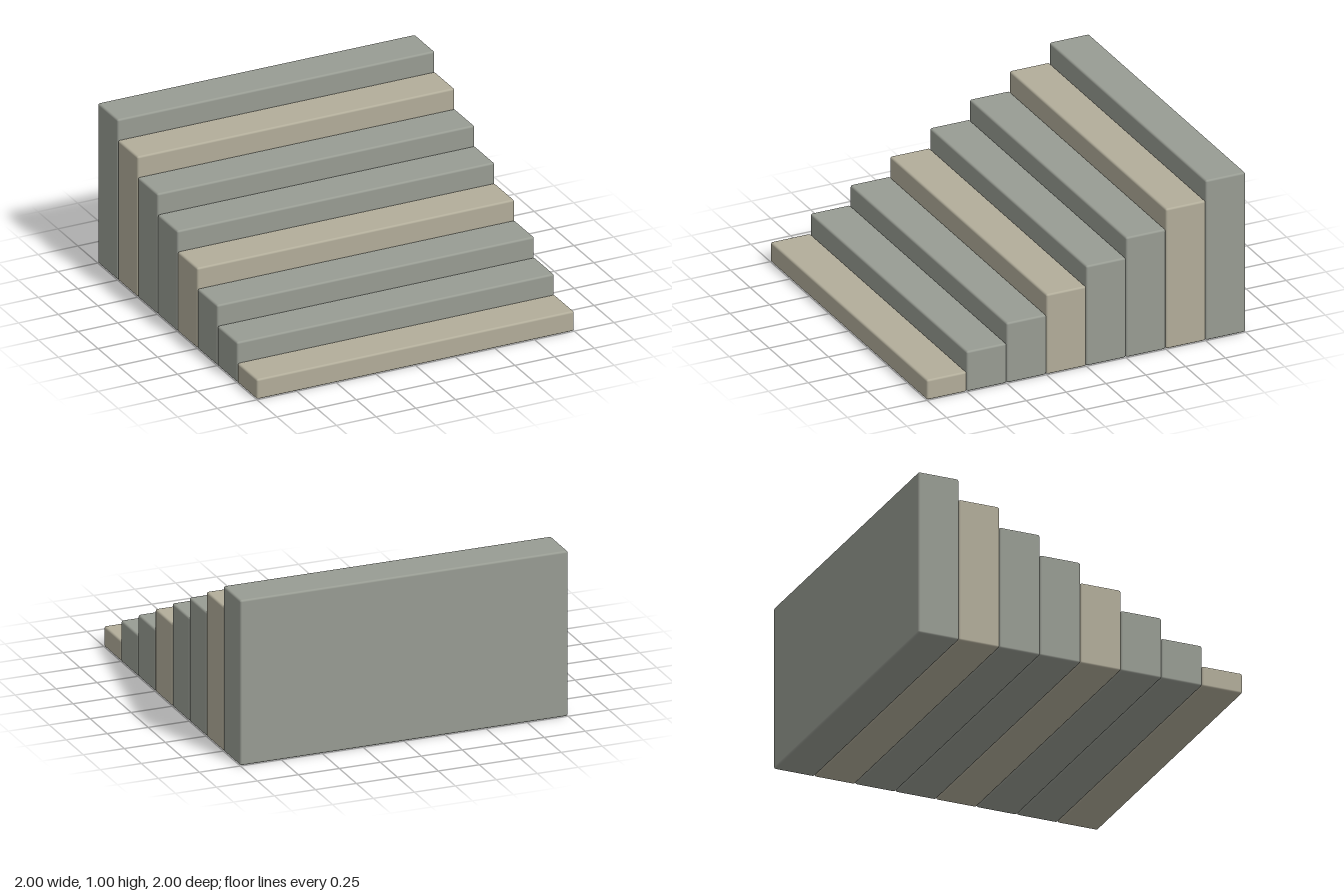
import * as THREE from 'three';
import { RoundedBoxGeometry } from 'three/addons/geometries/RoundedBoxGeometry.js';

const STEPS = 8;
const WIDTH = 2;
const DEPTH = 0.25;
const RISE = 0.125;
const EDGE = 0.012;

export function createModel() {
  const stairs = new THREE.Group();
  stairs.name = 'staircase';

  const greyStone = new THREE.MeshStandardMaterial({ color: 0x989c93 });
  const sandStone = new THREE.MeshStandardMaterial({ color: 0xb2ad9a });

  // Full-height stone blocks, rising from the front to the back
  for (let i = 0; i < STEPS; i++) {
    const height = RISE * (i + 1);
    // Every third block, starting with the lowest, is sand coloured
    const material = i % 3 === 0 ? sandStone : greyStone;
    const step = new THREE.Mesh(new RoundedBoxGeometry(WIDTH, height, DEPTH, 2, EDGE), material);
    step.name = `step${i + 1}`;
    step.position.set(0, height / 2, 1 - DEPTH * (i + 0.5));
    stairs.add(step);
  }

  return stairs;
}
